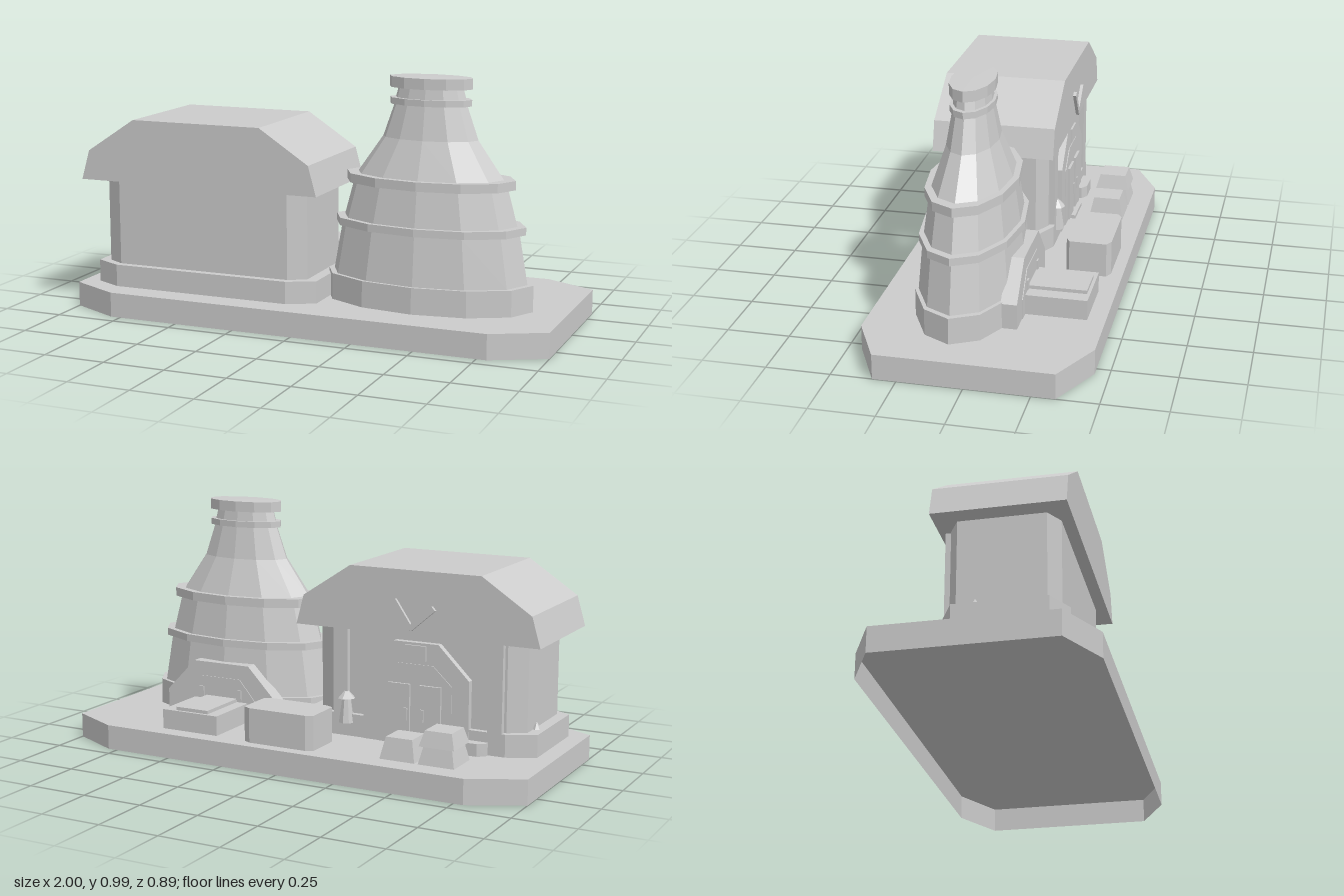
import * as THREE from 'three';

const clay = new THREE.MeshStandardMaterial({ color: 0xcccccc, flatShading: true, side: THREE.DoubleSide });
clay.name = 'plainGrey';

export function createModel() {
  const model = new THREE.Group();

  function add(name, geometry, x = 0, y = 0, z = 0) {
    const mesh = new THREE.Mesh(geometry, clay);
    mesh.name = name;
    mesh.position.set(x, y, z);
    model.add(mesh);
    return mesh;
  }
  // Box given by its limits on each axis
  function box(name, x0, x1, y0, y1, z0, z1) {
    return add(name, new THREE.BoxGeometry(x1 - x0, y1 - y0, z1 - z0),
      (x0 + x1) / 2, (y0 + y1) / 2, (z0 + z1) / 2);
  }
  const shapeOf = (pts) => new THREE.Shape(pts.map(([x, y]) => new THREE.Vector2(x, y)));
  const extrude = (shape, depth) => new THREE.ExtrudeGeometry(shape, { depth, bevelEnabled: false });
  // Upright outline, extruded from z0 to z1
  function upright(name, pts, z0, z1) {
    return add(name, extrude(shapeOf(pts), z1 - z0), 0, 0, z0);
  }
  // Rectangle with cut corners, seen from above (second value is -z)
  const cutOutline = (x0, x1, z0, z1, cx, cz) => [
    [x0 + cx, -z1], [x1 - cx, -z1], [x1, -z1 + cz], [x1, -z0 - cz],
    [x1 - cx, -z0], [x0 + cx, -z0], [x0, -z0 - cz], [x0, -z1 + cz]];
  function cutBlock(name, x0, x1, y0, y1, z0, z1, cx, cz) {
    const g = extrude(shapeOf(cutOutline(x0, x1, z0, z1, cx, cz)), y1 - y0);
    return add(name, g.rotateX(-Math.PI / 2), 0, y0, 0);
  }
  // Arch outline with slanted shoulders
  const arch = (c, half, flat, y0, shoulder, top) => [
    [c - half, y0], [c + half, y0], [c + half, shoulder],
    [c + flat, top], [c - flat, top], [c - half, shoulder]];

  // Base: a hollow tray, open underneath
  const baseOutline = cutOutline(-1, 1, -0.445, 0.445, 0.21, 0.105);
  add('baseTop', new THREE.ShapeGeometry(shapeOf(baseOutline)).rotateX(-Math.PI / 2), 0, 0.1, 0);
  const rim = [];
  baseOutline.forEach(([ax, ay], i) => {
    const [bx, by] = baseOutline[(i + 1) % baseOutline.length];
    rim.push(ax, 0, -ay, bx, 0, -by, bx, 0.1, -by, ax, 0, -ay, bx, 0.1, -by, ax, 0.1, -ay);
  });
  const rimGeometry = new THREE.BufferGeometry();
  rimGeometry.setAttribute('position', new THREE.Float32BufferAttribute(rim, 3));
  rimGeometry.computeVertexNormals();
  add('baseRim', rimGeometry);

  // Oval twelve-sided kiln with raised bands
  const profile = [
    [0, 0.1], [0.424, 0.1], [0.424, 0.205], [0.4, 0.205], [0.365, 0.4],
    [0.39, 0.4], [0.39, 0.43], [0.355, 0.43], [0.316, 0.572], [0.345, 0.572],
    [0.345, 0.608], [0.298, 0.608], [0.194, 0.755], [0.148, 0.885], [0.166, 0.885],
    [0.166, 0.91], [0.143, 0.91], [0.132, 0.95], [0.168, 0.95], [0.168, 0.992], [0, 0.994]];
  const kiln = add('kiln',
    new THREE.LatheGeometry(profile.map(([r, y]) => new THREE.Vector2(r, y)), 12), 0.442, 0, 0.087);
  kiln.scale.z = 0.5;

  // Kiln mouth, closed by a shallow panel, and work table
  upright('kilnArch', arch(0.437, 0.26, 0.13, 0.1, 0.2, 0.335), -0.133, -0.07);
  upright('kilnDoor', arch(0.437, 0.17, 0.09, 0.1, 0.18, 0.275), -0.136, -0.133);
  box('table', 0.31, 0.565, 0.1, 0.18, -0.375, -0.1);
  box('tableSlab', 0.36, 0.507, 0.18, 0.194, -0.363, -0.12);
  for (const x of [0.35, 0.53]) box('archPeg', x - 0.012, x + 0.012, 0.19, 0.23, -0.142, -0.12);

  // House
  const hx = -0.445;
  cutBlock('plinth', -0.93, 0.045, 0.1, 0.19, -0.12, 0.34, 0.11, 0.055);
  cutBlock('walls', -0.885, 0, 0.19, 0.54, -0.097, 0.31, 0.07, 0.04);
  upright('roof', [[-0.96, 0.54], [0.073, 0.54], [0.04, 0.66], [-0.167, 0.795],
    [-0.72, 0.795], [-0.925, 0.66]], -0.142, 0.355);
  for (const s of [-1, 1]) {
    const x = hx + s * 0.33;
    box('post', x - 0.03, x + 0.03, 0.19, 0.54, -0.12, -0.09);
  }

  // Doorway with two leaves and a plaque
  upright('doorSurround', arch(hx, 0.225, 0.095, 0.1, 0.38, 0.51), -0.124, -0.09);
  upright('doorPanel', arch(hx, 0.155, 0.075, 0.1, 0.35, 0.425), -0.127, -0.124);
  for (const s of [-1, 1]) {
    const x = hx + s * 0.066;
    box('doorLeaf', x - 0.046, x + 0.046, 0.11, 0.345, -0.137, -0.125);
    box('doorHandle', hx + s * 0.035 - 0.007, hx + s * 0.035 + 0.007, 0.2, 0.25, -0.144, -0.136);
  }
  box('plaque', -0.49, -0.4, 0.44, 0.5, -0.132, -0.12);
  box('doorStep', -0.52, -0.37, 0.1, 0.115, -0.155, -0.12);

  // Two bars meeting on the gable
  function bar(x0, y0, x1, y1, w) {
    const length = Math.hypot(x1 - x0, y1 - y0);
    const mesh = add('gableBar', new THREE.BoxGeometry(length, w, 0.014),
      (x0 + x1) / 2, (y0 + y1) / 2, -0.148);
    mesh.rotation.z = Math.atan2(y1 - y0, x1 - x0);
  }
  bar(-0.36, 0.675, -0.435, 0.565, 0.022);
  bar(-0.43, 0.568, -0.53, 0.655, 0.022);

  // Lantern beside the door, knob on the plinth, bench
  add('lanternBody', new THREE.CylinderGeometry(0.018, 0.032, 0.1, 8), -0.14, 0.205, -0.117);
  add('lanternCap', new THREE.CylinderGeometry(0.01, 0.036, 0.028, 8), -0.14, 0.268, -0.117);
  add('plinthKnob', new THREE.ConeGeometry(0.018, 0.03, 6), -0.895, 0.205, 0.015);
  cutBlock('bench', -0.75, -0.6, 0.1, 0.15, -0.16, -0.1, 0.03, 0.02);

  // Yard: trough and tapered crates, one of them stacked
  cutBlock('trough', -0.135, 0.175, 0.1, 0.24, -0.397, -0.215, 0.03, 0.016);
  function crate(x, y, h, bottom, top) {
    const g = new THREE.CylinderGeometry(top * Math.SQRT2, bottom * Math.SQRT2, h, 4);
    add('crate', g.rotateY(Math.PI / 4), x, y + h / 2, -0.283);
  }
  crate(-0.478, 0.1, 0.085, 0.073, 0.055);
  crate(-0.64, 0.1, 0.07, 0.074, 0.058);
  crate(-0.64, 0.17, 0.06, 0.072, 0.055);
  return model;
}
